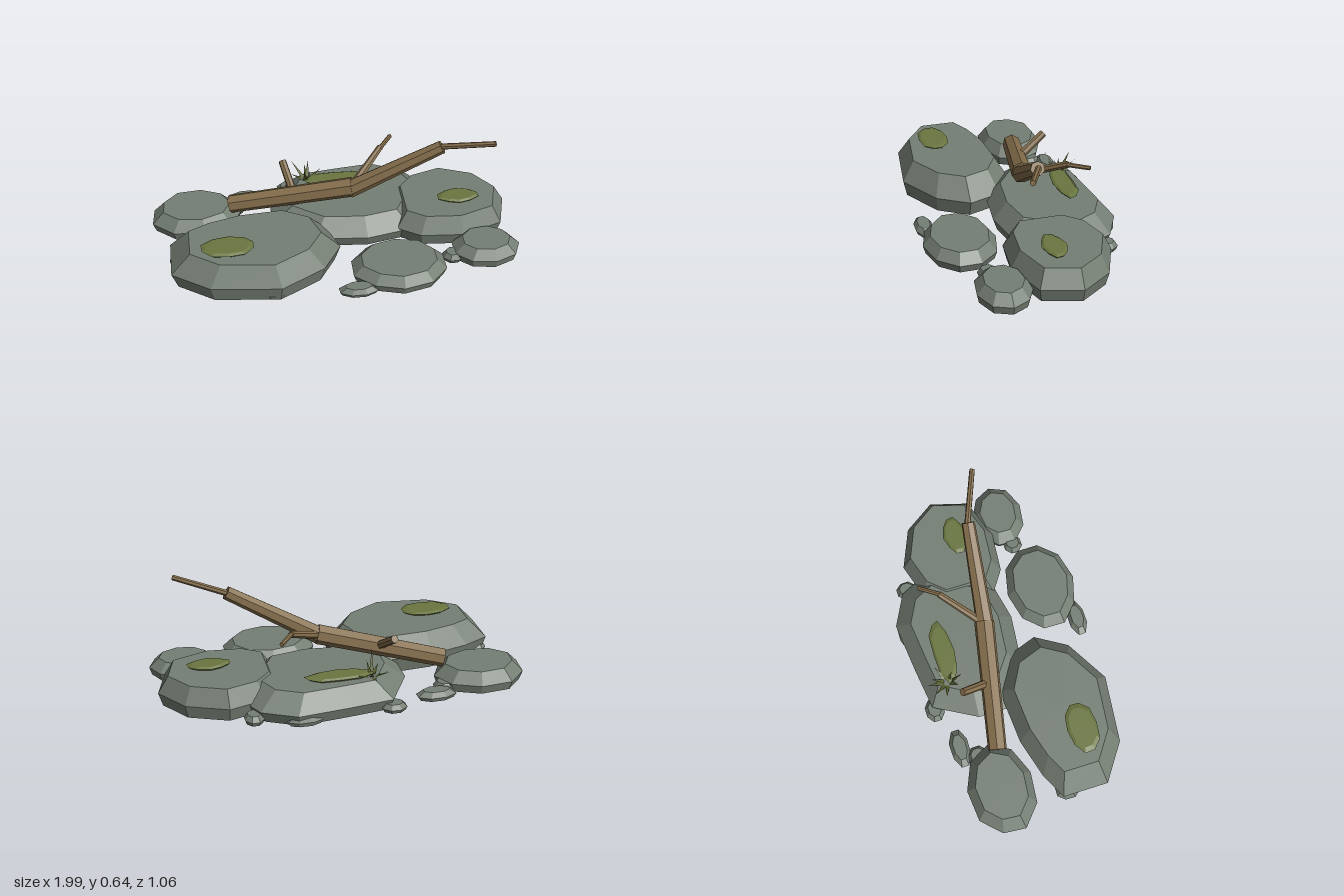
import * as THREE from 'three';

const mat = (name, color) => {
  const m = new THREE.MeshStandardMaterial({ color, flatShading: true });
  m.name = name;
  return m;
};

export function createModel() {
  const stone = mat('stone', 0x757f74);
  const wood = mat('wood', 0x846d4b);
  const moss = mat('moss', 0x6a7640);
  const grass = mat('grass', 0x59632f);
  grass.side = THREE.DoubleSide;

  const model = new THREE.Group();
  model.name = 'rocksAndDriftwood';

  let seed = 7;
  const rand = () => (seed = (seed * 16807) % 2147483647) / 2147483647;

  const add = (name, geometry, material) => {
    const mesh = new THREE.Mesh(geometry, material);
    mesh.name = name;
    model.add(mesh);
    return mesh;
  };

  // Closed solid lofted through scaled copies of an outline; levels are [y, scale]
  function slab(outline, levels) {
    const xs = outline.map(p => p[0]), zs = outline.map(p => p[1]);
    const cx = (Math.min(...xs) + Math.max(...xs)) / 2;
    const cz = (Math.min(...zs) + Math.max(...zs)) / 2;
    const at = (i, [y, s]) => {
      const [x, z] = outline[i % outline.length];
      return [cx + (x - cx) * s, y, cz + (z - cz) * s];
    };
    const pos = [];
    const low = levels[0], high = levels[levels.length - 1];
    for (let i = 0; i < outline.length; i++) {
      for (let k = 0; k < levels.length - 1; k++) {
        const a = at(i, levels[k]), b = at(i + 1, levels[k]);
        const c = at(i, levels[k + 1]), d = at(i + 1, levels[k + 1]);
        pos.push(...a, ...c, ...b, ...b, ...c, ...d);
      }
      pos.push(cx, high[0], cz, ...at(i + 1, high), ...at(i, high));
      pos.push(cx, low[0], cz, ...at(i, low), ...at(i + 1, low));
    }
    const g = new THREE.BufferGeometry();
    g.setAttribute('position', new THREE.Float32BufferAttribute(pos, 3));
    g.computeVertexNormals();
    return g;
  }

  // Slightly uneven ellipse, running left, back, right, front
  const oval = (x, z, rx, rz, n, wobble = 0.06) =>
    Array.from({ length: n }, (_, i) => {
      const a = ((i + 0.5) / n) * Math.PI * 2;
      const r = 1 + (rand() - 0.5) * wobble;
      return [x - Math.cos(a) * rx * r, z - Math.sin(a) * rz * r];
    });

  const rock = (name, outline, mid, top, topScale, baseScale = 0.93) =>
    add(name, slab(outline, [[0, baseScale], [mid, 1], [top, topScale]]), stone);

  // Three large boulders
  rock('frontBoulder', [[-0.9, 0.06], [-0.76, -0.01], [-0.54, -0.07], [-0.23, -0.09], [-0.05, 0.01],
    [0.015, 0.19], [-0.09, 0.36], [-0.33, 0.495], [-0.7, 0.45], [-0.9, 0.31]], 0.09, 0.202, 0.77);
  rock('backBoulder', [[-0.33, -0.24], [-0.2, -0.47], [0.03, -0.5], [0.32, -0.53], [0.5, -0.44],
    [0.6, -0.24], [0.43, 0.06], [0.18, 0.11], [-0.11, 0.08], [-0.33, -0.08]], 0.065, 0.157, 0.75);
  rock('sideBoulder', [[0.35, -0.22], [0.45, -0.33], [0.65, -0.39], [0.87, -0.3], [0.99, -0.13],
    [0.93, 0.08], [0.7, 0.16], [0.47, 0.14], [0.35, 0.06]], 0.075, 0.17, 0.82);

  // Medium flat stones
  rock('leftStone', oval(-0.75, -0.245, 0.255, 0.185, 9), 0.05, 0.115, 0.75);
  rock('frontStone', oval(0.315, 0.33, 0.265, 0.195, 10), 0.045, 0.097, 0.79);
  rock('cornerStone', oval(0.81, 0.23, 0.19, 0.145, 9), 0.045, 0.097, 0.7);

  // Pebbles tucked around the boulders: x, z, rx, rz, height
  [
    [0.075, 0.47, 0.11, 0.053, 0.046], [-0.46, -0.39, 0.115, 0.055, 0.05],
    [-0.205, -0.46, 0.072, 0.055, 0.045], [0.28, -0.49, 0.1, 0.04, 0.05],
    [0.53, -0.41, 0.055, 0.06, 0.05], [0.625, 0.26, 0.06, 0.055, 0.05],
    [-0.53, -0.31, 0.06, 0.06, 0.05], [-0.36, 0.42, 0.09, 0.06, 0.045],
    [-0.85, 0.1, 0.06, 0.07, 0.05],
  ].forEach(([x, z, rx, rz, h], i) =>
    rock('pebble' + (i + 1), oval(x, z, rx, rz, 8), h * 0.45, h, 0.66, 0.85));

  // Moss patches lying on the boulders
  [
    [-0.59, 0.26, 0.148, 0.088, 0.202], [0.71, -0.06, 0.115, 0.065, 0.17], [0.055, -0.325, 0.188, 0.06, 0.157],
  ].forEach(([x, z, rx, rz, y], i) =>
    add('mossPatch' + (i + 1),
      slab(oval(x, z, rx, rz, 10, 0.14), [[y - 0.004, 0.85], [y + 0.01, 1], [y + 0.018, 0.8]]), moss));

  // Tapered stick between two points
  function stick(name, from, to, r0, r1) {
    const a = new THREE.Vector3(...from), b = new THREE.Vector3(...to);
    const dir = b.clone().sub(a);
    const mesh = add(name, new THREE.CylinderGeometry(r1, r0, dir.length(), 7), wood);
    mesh.position.copy(a).add(b).multiplyScalar(0.5);
    mesh.quaternion.setFromUnitVectors(new THREE.Vector3(0, 1, 0), dir.normalize());
  }

  // Driftwood: trunk, bend and branches
  stick('trunk', [-0.555, 0.135, -0.205], [0.115, 0.292, -0.068], 0.052, 0.056);
  stick('bentTrunk', [0.095, 0.276, -0.068], [0.59, 0.56, -0.007], 0.05, 0.037);
  stick('tipBranch', [0.57, 0.553, -0.018], [0.855, 0.628, 0.1], 0.017, 0.015);
  stick('stubBranch', [-0.2, 0.21, -0.13], [-0.248, 0.33, -0.302], 0.024, 0.022);
  stick('sideBranch', [0.11, 0.285, -0.07], [0.3, 0.405, -0.265], 0.024, 0.018);
  stick('sideTwig', [0.292, 0.403, -0.25], [0.37, 0.403, -0.365], 0.013, 0.012);

  // Grass tuft: thin blades given by their tips
  [
    [-0.13, 0.275, -0.275], [-0.185, 0.225, -0.44], [-0.09, 0.22, -0.44], [-0.02, 0.19, -0.4],
    [-0.2, 0.18, -0.38], [-0.09, 0.235, -0.32], [-0.16, 0.2, -0.3], [-0.11, 0.18, -0.46],
  ].forEach((tip, i) => {
    const base = new THREE.Vector3(-0.11, 0.155, -0.35);
    const end = new THREE.Vector3(...tip);
    const out = end.clone().sub(base);
    const side = new THREE.Vector3(-out.z, 0, out.x).normalize().multiplyScalar(0.013);
    base.addScaledVector(new THREE.Vector3(out.x, 0, out.z), 0.2);
    const pts = [base.clone().add(side), base.clone().sub(side), end];
    const g = new THREE.BufferGeometry().setFromPoints(pts);
    g.computeVertexNormals();
    add('grassBlade' + (i + 1), g, grass);
  });

  return model;
}
